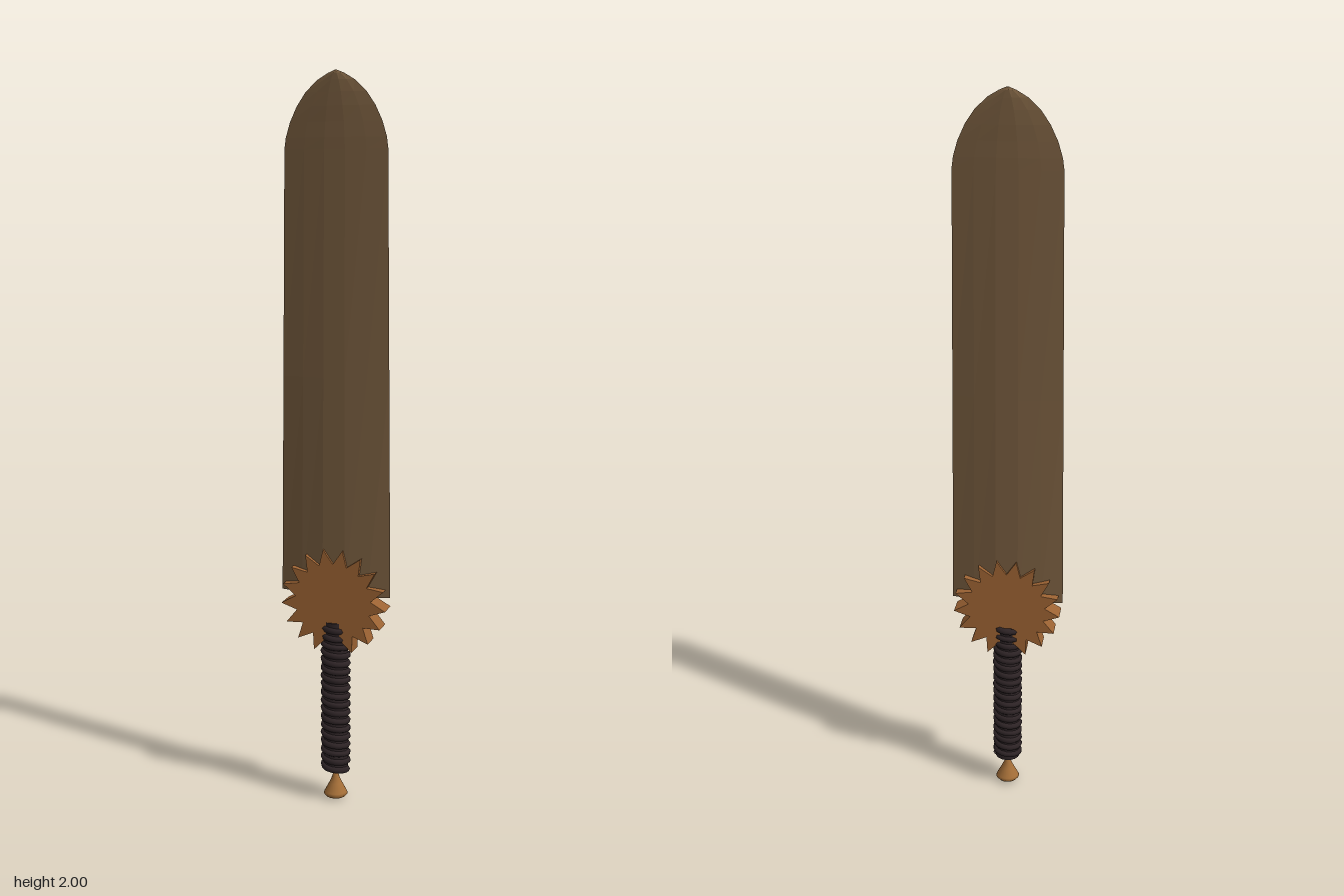
import * as THREE from 'three';

const mat = (name, color, side = THREE.FrontSide) => {
  const m = new THREE.MeshStandardMaterial({ color, side });
  m.name = name;
  return m;
};

// Faceted lens-shaped blade lofted through stations of [y, half width, half thickness]
function bladeGeometry() {
  const section = [[1, 0], [0.6, 0.55], [0.2, 0.95], [-0.2, 0.95], [-0.6, 0.55],
    [-1, 0], [-0.6, -0.55], [-0.2, -0.95], [0.2, -0.95], [0.6, -0.55]];
  const stations = [[0.6, 0.156, 0.023], [1.2, 0.149, 0.017], [1.8, 0.142, 0.012],
    [1.83, 0.138, 0.012], [1.87, 0.126, 0.011], [1.91, 0.107, 0.011],
    [1.945, 0.083, 0.01], [1.975, 0.051, 0.009], [1.992, 0.022, 0.008], [2, 0.002, 0.003]];
  const n = section.length, pos = [], idx = [];
  for (const [y, w, t] of stations) for (const [x, z] of section) pos.push(x * w, y, z * t);
  for (let s = 0; s < stations.length - 1; s++) {
    for (let i = 0; i < n; i++) {
      const a = s * n + i, b = s * n + (i + 1) % n;
      idx.push(a, a + n, b, b, a + n, b + n);
    }
  }
  const top = (stations.length - 1) * n;
  for (let i = 1; i < n - 1; i++) {
    idx.push(0, i, i + 1);
    idx.push(top, top + i + 1, top + i);
  }
  const indexed = new THREE.BufferGeometry();
  indexed.setAttribute('position', new THREE.Float32BufferAttribute(pos, 3));
  indexed.setIndex(idx);
  const g = indexed.toNonIndexed();
  g.computeVertexNormals();
  return g;
}

// Toothed disc, with a notch at the top
function guardGeometry() {
  const teeth = 17, depth = 0.058, shape = new THREE.Shape();
  for (let i = 0; i < teeth * 2; i++) {
    const a = Math.PI / 2 + i * Math.PI / teeth, r = i % 2 ? 0.15 : 0.108;
    if (i === 0) shape.moveTo(0, r);
    else shape.lineTo(Math.cos(a) * r, Math.sin(a) * r);
  }
  shape.closePath();
  const g = new THREE.ExtrudeGeometry(shape, { depth, bevelEnabled: false });
  g.translate(0, 0, -depth / 2);
  return g;
}

// Spiral path of the grip binding
class Helix extends THREE.Curve {
  getPoint(t, target = new THREE.Vector3()) {
    const a = t * Math.PI * 2 * 18;
    return target.set(Math.cos(a) * 0.033, 0.09 + t * 0.43, Math.sin(a) * 0.033);
  }
}

export function createModel() {
  const model = new THREE.Group();
  model.name = 'sword';
  const bladeBronze = mat('blade bronze', 0x745a3d);
  const guardCopper = mat('guard copper', 0x9c6333);
  const gripLeather = mat('grip leather', 0x2e2426, THREE.DoubleSide);
  const pommelBronze = mat('pommel bronze', 0xa56f38);

  const add = (name, geometry, material) => {
    const mesh = new THREE.Mesh(geometry, material);
    mesh.name = name;
    model.add(mesh);
    return mesh;
  };

  add('blade', bladeGeometry(), bladeBronze);
  add('toothedGuard', guardGeometry(), guardCopper).position.y = 0.582;

  // Grip core and its binding
  add('gripCore', new THREE.CylinderGeometry(0.035, 0.035, 0.435, 16), gripLeather).position.y = 0.305;
  add('gripBinding', new THREE.TubeGeometry(new Helix(), 360, 0.0095, 6), gripLeather);

  // Conical pommel with a rounded base
  const profile = [[0, 0], [0.016, 0.002], [0.028, 0.007], [0.034, 0.014], [0.031, 0.02],
    [0.018, 0.045], [0.009, 0.065], [0.006, 0.09], [0, 0.09]];
  add('pommel', new THREE.LatheGeometry(profile.map(([x, y]) => new THREE.Vector2(x, y)), 20), pommelBronze);

  return model;
}
